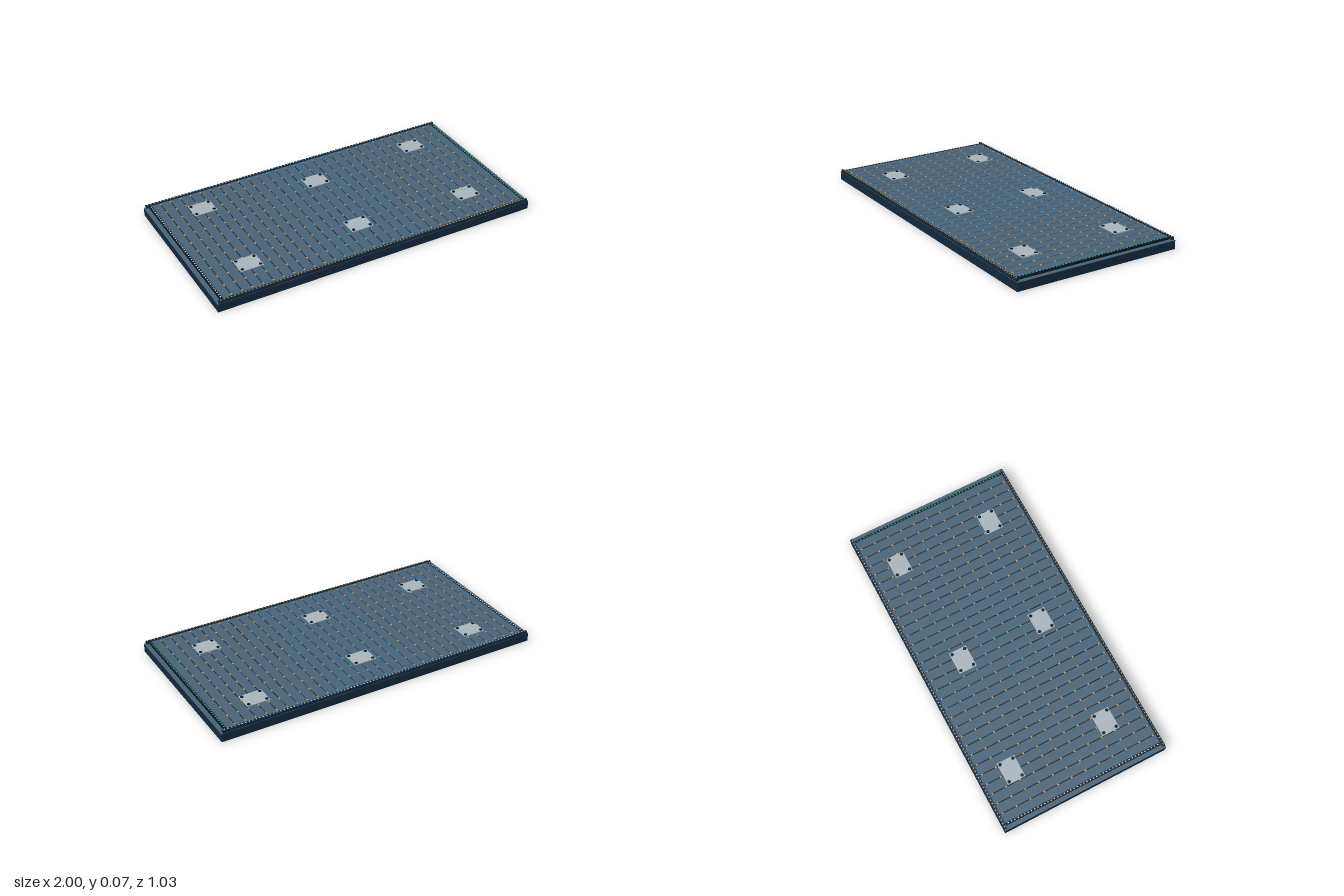
import * as THREE from 'three';
import { mergeGeometries } from 'three/addons/utils/BufferGeometryUtils.js';

const mat = (name, color) => {
  const m = new THREE.MeshStandardMaterial({ color });
  m.name = name;
  return m;
};

export function createModel() {
  const group = new THREE.Group();
  group.name = 'deckPlatform';

  const navy = mat('navy hull', 0x12283c);
  const dark = mat('dark seam', 0x0a1824);
  const steel = mat('blue grey deck', 0x486277);
  const pale = mat('pale pad', 0xaab4bc);
  const orange = mat('orange light', 0xd89a3c);
  const cyan = mat('cyan light', 0x3fb4d8);
  const green = mat('green light', 0x2fb58a);
  const white = mat('white light', 0xc4d0d8);

  // Box given by its centre in plan, its bottom and top heights and its sizes
  const box = (x, z, y0, y1, w, d) =>
    new THREE.BoxGeometry(w, y1 - y0, d).translate(x, (y0 + y1) / 2, z);
  const add = (name, material, geos) => {
    const mesh = new THREE.Mesh(geos.length > 1 ? mergeGeometries(geos) : geos[0], material);
    mesh.name = name;
    group.add(mesh);
  };

  // Hull slab, thin ledge skin and the dark core seen through the seams
  add('hull', navy, [box(0, 0, 0, 0.05, 2, 1.03)]);
  add('ledge', steel, [box(0, 0, 0.05, 0.052, 2, 1.03)]);
  add('deckCore', dark, [box(0, 0, 0.052, 0.061, 1.945, 0.99)]);

  // Planks running front to back with narrow seams between them
  const pitch = 0.0625;
  const planks = [];
  for (let i = -15; i <= 15; i++) {
    planks.push(box(i * pitch, 0, 0.056, 0.065, pitch - 0.006, 0.99));
  }
  add('planks', steel, planks);

  // Long rails at front and back, short rails at both ends
  add('longRails', navy, [-1, 1].map((s) => box(0, s * 0.507, 0.052, 0.068, 1.98, 0.015)));
  add('endRails', dark, [-1, 1].map((s) => box(s * 0.967, 0, 0.052, 0.066, 0.014, 0.99)));

  // Rows of small lights set in the seams, cyan down the middle
  const outer = [];
  const middle = [];
  for (let i = -14.5; i <= 14.5; i++) {
    const x = i * pitch;
    for (let j = -5.5; j <= 5.5; j++) {
      const list = x > -0.25 && x < 0.3 ? middle : outer;
      list.push(box(x, j * 0.0875, 0.06, 0.067, 0.009, 0.009));
    }
  }
  add('outerSeamLights', orange, outer);
  add('middleSeamLights', cyan, middle);

  // Marker lights along the four rails
  const front = [];
  const back = [];
  for (let i = -47; i <= 47; i++) {
    front.push(box(i * 0.0208, 0.507, 0.067, 0.071, 0.007, 0.005));
    back.push(box(i * 0.0208, -0.507, 0.067, 0.071, 0.007, 0.005));
  }
  add('frontRailLights', orange, front);
  add('backRailLights', white, back);
  const leftEnd = [];
  const rightEnd = [];
  for (let i = -23; i <= 23; i++) {
    leftEnd.push(box(0.967, i * 0.0208, 0.065, 0.069, 0.006, 0.008));
    rightEnd.push(box(-0.967, i * 0.0208, 0.065, 0.069, 0.006, 0.008));
  }
  add('leftEndLights', green, leftEnd);
  add('rightEndLights', white, rightEnd);

  // Six mounting pads with a bolt in each corner
  const pads = [];
  const bolts = [];
  const spots = [
    [-0.71, -0.325], [0, -0.265], [0.71, -0.325],
    [-0.71, 0.282], [0, 0.252], [0.71, 0.282],
  ];
  for (const [x, z] of spots) {
    pads.push(box(x, z, 0.062, 0.069, 0.138, 0.11));
    for (const sx of [-1, 1]) {
      for (const sz of [-1, 1]) {
        bolts.push(new THREE.CylinderGeometry(0.01, 0.01, 0.006, 10)
          .translate(x + sx * 0.055, 0.068, z + sz * 0.041));
      }
    }
  }
  add('pads', pale, pads);
  add('padBolts', dark, bolts);

  return group;
}
